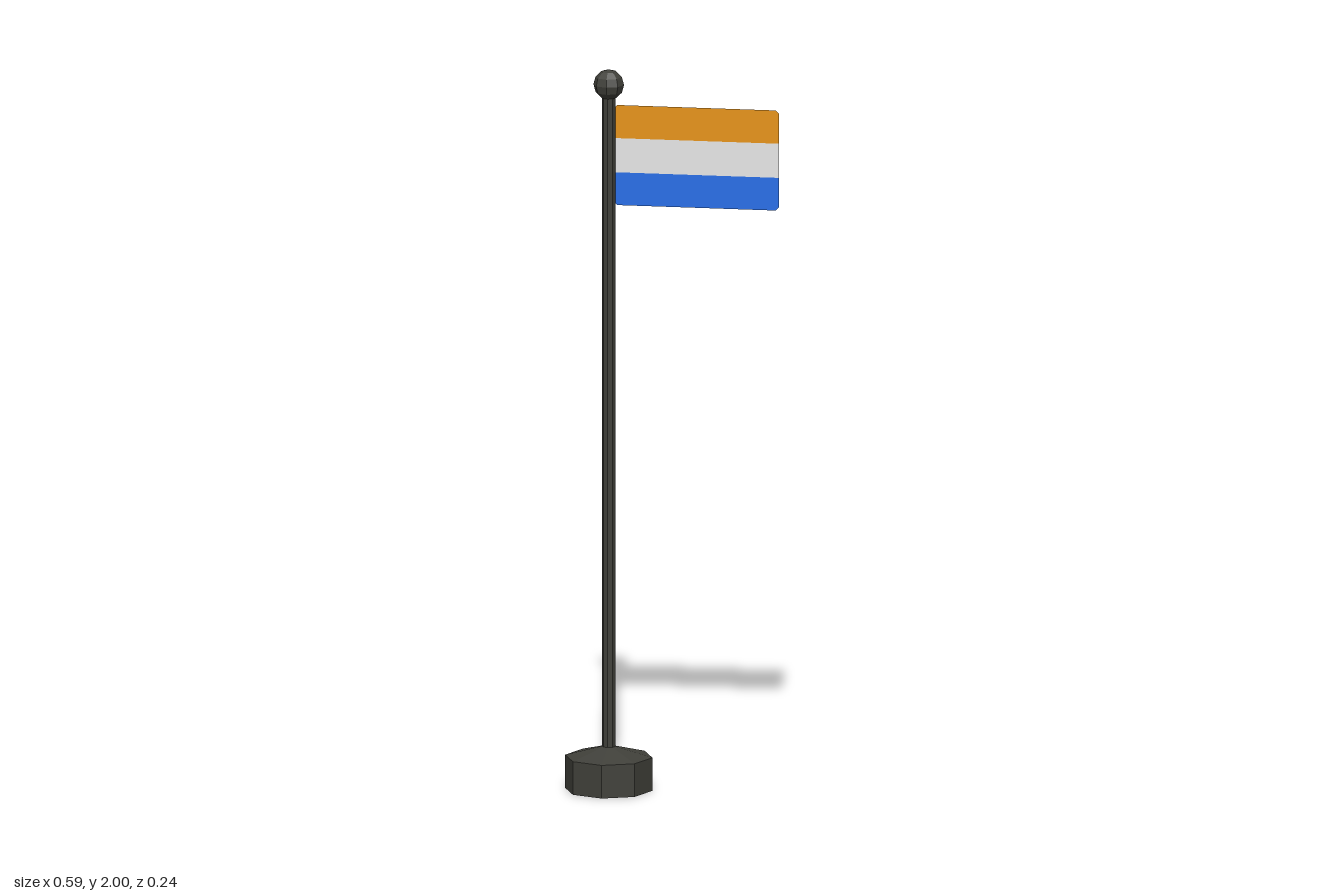
import * as THREE from 'three';

const makeMaterial = (name, color, extra = {}) => {
  const m = new THREE.MeshStandardMaterial({ color, side: THREE.DoubleSide, ...extra });
  m.name = name;
  return m;
};

export function createModel() {
  const group = new THREE.Group();
  group.name = 'flagpole';
  const SIDES = 8, POLE_X = -0.175;

  const metal = makeMaterial('dark metal', 0x40403a, { flatShading: true });
  const orange = makeMaterial('orange cloth', 0xe69312);
  const white = makeMaterial('white cloth', 0xe6e6e6);
  const blue = makeMaterial('blue cloth', 0x256fea);

  const add = (name, geometry, material, x = 0, y = 0) => {
    const mesh = new THREE.Mesh(geometry, material);
    mesh.name = name;
    mesh.position.set(x, y, 0);
    group.add(mesh);
  };

  // Hollow octagonal foot with a shallow sloping top
  const footProfile = [[0.12, 0], [0.12, 0.092], [0.017, 0.12]]
    .map(([r, y]) => new THREE.Vector2(r, y));
  add('base', new THREE.LatheGeometry(footProfile, SIDES), metal, POLE_X);

  // Pole and ball on top
  add('pole', new THREE.CylinderGeometry(0.018, 0.018, 1.82, SIDES, 1, true), metal, POLE_X, 1.02);
  add('finial', new THREE.SphereGeometry(0.042, SIDES, 6), metal, POLE_X, 1.958);

  // Flag: three flat stripes, outer corners slightly clipped
  const x0 = -0.16, x1 = 0.293, c = 0.009;
  const stripe = (name, y0, y1, material, cutBottom, cutTop) => {
    const b = cutBottom ? c : 0, t = cutTop ? c : 0;
    const shape = new THREE.Shape([
      [x0 + b, y0], [x1 - b, y0], [x1, y0 + b], [x1, y1 - t],
      [x1 - t, y1], [x0 + t, y1], [x0, y1 - t], [x0, y0 + b],
    ].map(([x, y]) => new THREE.Vector2(x, y))
      .filter((p, i, a) => !p.equals(a[(i + 1) % a.length])));
    add(name, new THREE.ShapeGeometry(shape), material);
  };
  stripe('flagTopStripe', 1.81, 1.902, orange, false, true);
  stripe('flagMiddleStripe', 1.715, 1.81, white, false, false);
  stripe('flagBottomStripe', 1.624, 1.715, blue, true, false);

  return group;
}
